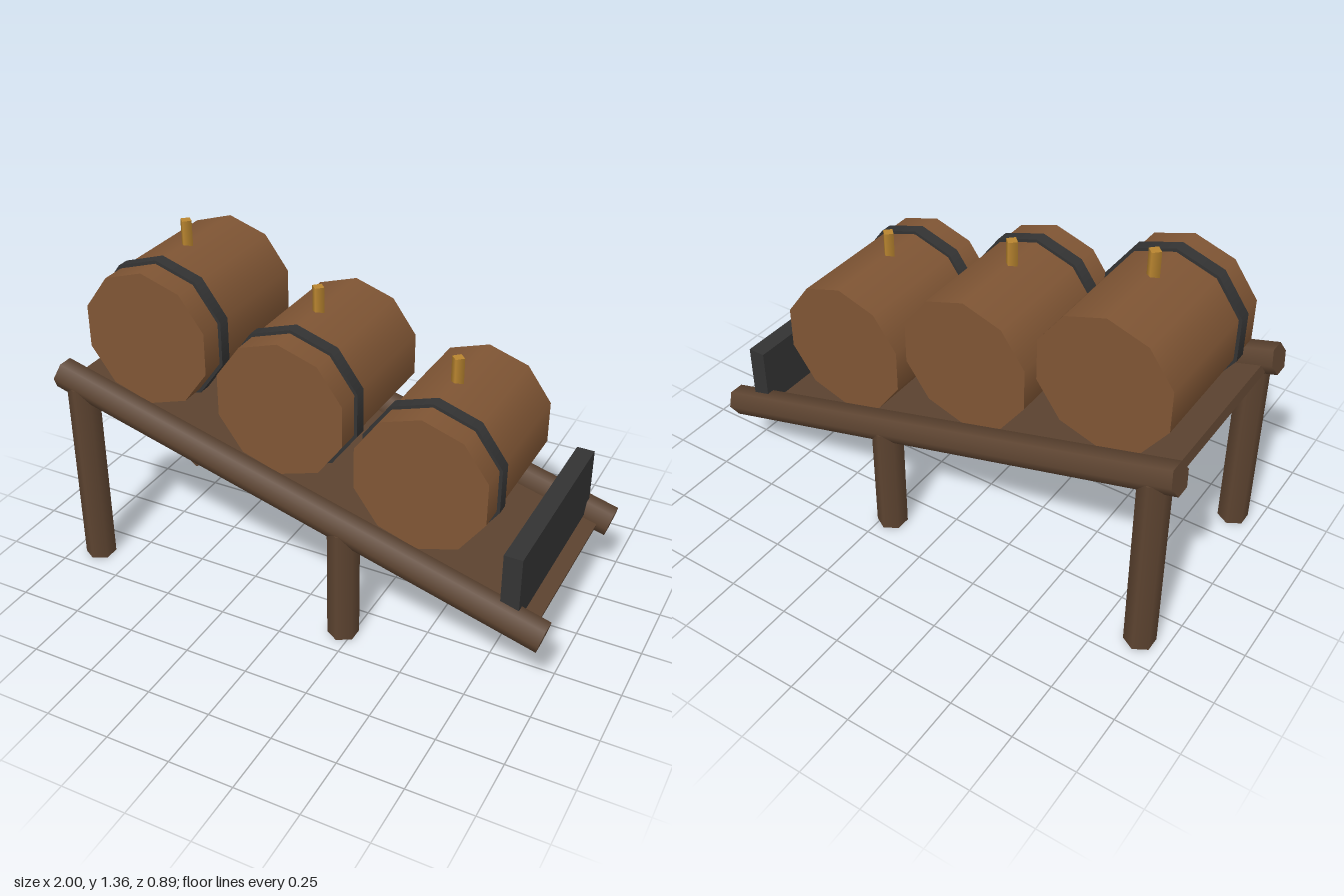
import * as THREE from 'three';

const SLOPE = 0.27;      // tilt of the rack in radians
const AXIS_Y = 0.538;    // height of the rail axis at x = 0
const axisY = (x) => AXIS_Y - Math.tan(SLOPE) * x;

function material(name, color) {
  const m = new THREE.MeshStandardMaterial({ color });
  m.name = name;
  return m;
}

export function createModel() {
  const model = new THREE.Group();
  model.name = 'barrelRack';

  const timber = material('dark timber', 0x5c4330);
  const stave = material('barrel wood', 0x7f5534);
  const iron = material('black iron', 0x333333);
  const brass = material('golden bung', 0xb8842f);

  function add(parent, name, geometry, mat, x, y, z) {
    const mesh = new THREE.Mesh(geometry, mat);
    mesh.name = name;
    mesh.position.set(x, y, z);
    parent.add(mesh);
    return mesh;
  }

  // Sloping deck with its top on the rail axis
  const rack = new THREE.Group();
  rack.name = 'slopingRack';
  rack.position.y = AXIS_Y;
  rack.rotation.z = -SLOPE;
  model.add(rack);
  add(rack, 'deck', new THREE.BoxGeometry(1.96, 0.04, 0.77), timber, 0, -0.02, 0);

  // Six-sided rails and legs on both sides
  for (const side of [1, -1]) {
    const label = side > 0 ? 'front' : 'back';
    const z = side * 0.387;
    const rail = add(rack, label + 'Rail', new THREE.CylinderGeometry(0.06, 0.06, 2.046, 6), timber, 0, 0, z);
    rail.rotation.z = Math.PI / 2;
    for (const [x, kind] of [[-0.9, 'Tall'], [0.213, 'Short']]) {
      const h = axisY(x) - 0.01;
      add(model, label + kind + 'Leg', new THREE.CylinderGeometry(0.06, 0.06, h, 6), timber, x, h / 2, z);
    }
  }

  // Upright stop board at the low end
  add(model, 'stopBoard', new THREE.BoxGeometry(0.07, 0.26, 0.775), iron, 0.855, 0.43, 0);

  // Three ten-sided barrels, each with one hoop and a bung
  for (let i = 0; i < 3; i++) {
    const barrel = new THREE.Group();
    barrel.name = 'barrel' + (i + 1);
    barrel.position.set(-0.645 + i * 0.557, 0.993 - i * 0.154, 0);
    model.add(barrel);
    const body = add(barrel, 'body', new THREE.CylinderGeometry(0.268, 0.268, 0.62, 10), stave, 0, 0, 0);
    const hoop = add(barrel, 'hoop', new THREE.CylinderGeometry(0.281, 0.281, 0.05, 10), iron, 0, 0, 0.189);
    body.rotation.x = hoop.rotation.x = Math.PI / 2;
    add(barrel, 'bung', new THREE.CylinderGeometry(0.025, 0.025, 0.11, 4), brass, 0, 0.307, 0);
  }

  return model;
}
